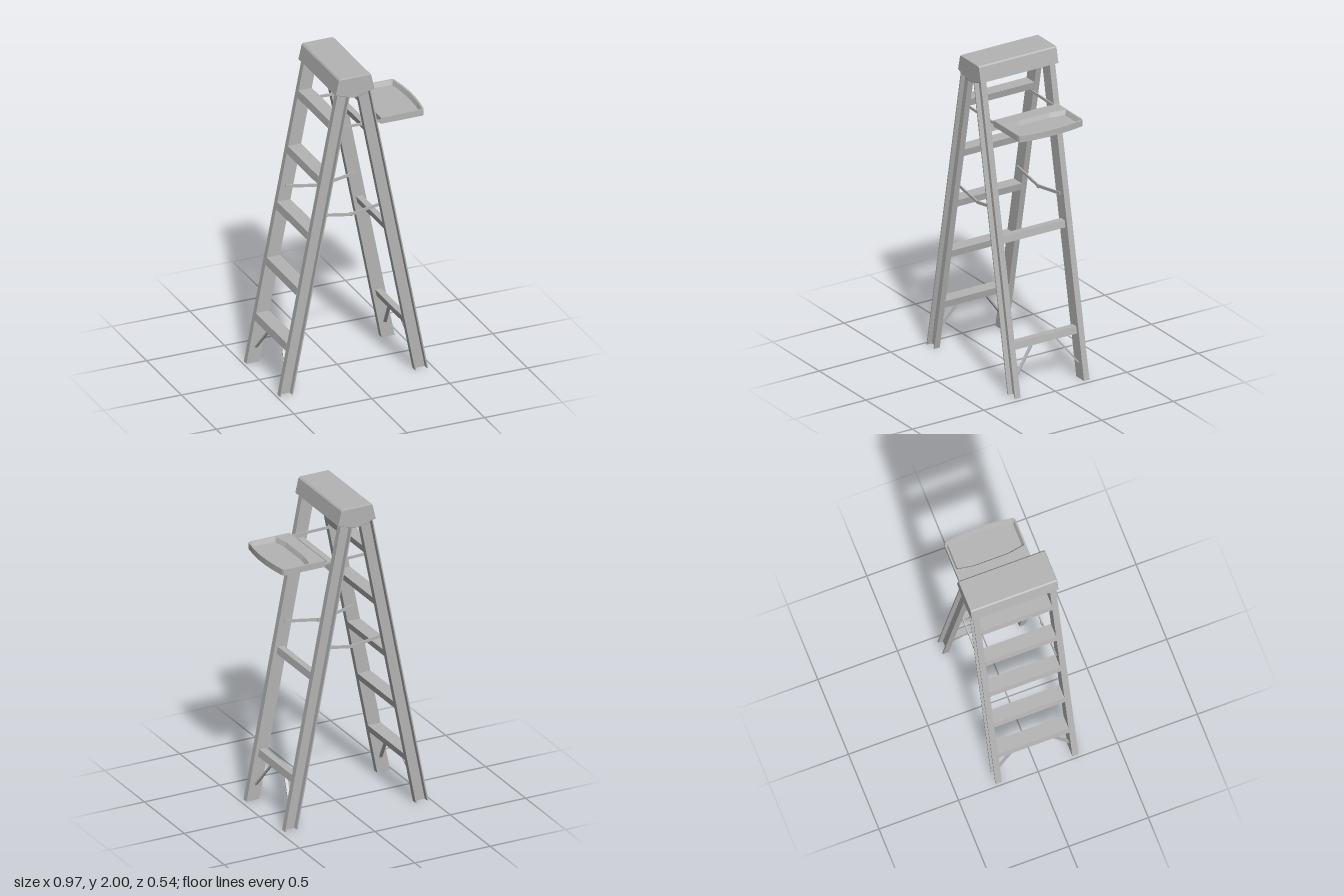
import * as THREE from 'three';
import { mergeGeometries } from 'three/addons/utils/BufferGeometryUtils.js';

const CX = -0.007;                                // ladder centre line
const FOOT = 0.434, SLOPE = 0.195;                // leg centre at the floor and its lean
const HALF = 0.042;                               // half the width of a leg
const IN = 0.222, OUT = 0.26;                     // inner and outer z of the legs

const legX = (side, y) => CX + side * (FOOT - SLOPE * y);

// Box that leans with the legs; u runs outward from the leg centre line.
function raked(side, u0, u1, y0, y1, z0, z1) {
  const g = new THREE.BoxGeometry(u1 - u0, y1 - y0, Math.abs(z1 - z0));
  g.translate(side * (u0 + u1) / 2, (y0 + y1) / 2, (z0 + z1) / 2);
  const p = g.attributes.position;
  for (let i = 0; i < p.count; i++) p.setX(i, p.getX(i) + legX(side, p.getY(i)));
  g.computeVertexNormals();
  return g;
}

// Flat bar between two points
function bar(a, b, height, thick) {
  const A = new THREE.Vector3(...a), B = new THREE.Vector3(...b);
  const g = new THREE.BoxGeometry(thick, height, A.distanceTo(B));
  const m = new THREE.Matrix4().lookAt(B, A, new THREE.Vector3(0, 1, 0));
  g.applyMatrix4(m);
  const c = A.add(B).multiplyScalar(0.5);
  return g.translate(c.x, c.y, c.z);
}

// Half outline (z > 0) completed by mirroring, as [x, z] points
const mirrored = (half) => [...half, ...half.slice().reverse().map(([x, z]) => [x, -z])];
const toV2 = (pts) => pts.map(([x, y]) => new THREE.Vector2(x, y));

// Horizontal slab from an [x, z] outline
function slab(outline, y0, y1, hole) {
  const s = new THREE.Shape(toV2(outline));
  if (hole) s.holes.push(new THREE.Path(toV2(hole)));
  const g = new THREE.ExtrudeGeometry(s, { depth: y1 - y0, bevelEnabled: false });
  return g.rotateX(-Math.PI / 2).translate(0, y0, 0);
}

export function createModel() {
  const model = new THREE.Group();
  const metal = new THREE.MeshStandardMaterial({ color: 0xb4b4b4 });
  metal.name = 'greyMetal';
  const shell = metal.clone();
  shell.name = 'greyMetalSheet';
  shell.side = THREE.DoubleSide;
  const add = (name, geos, mat = metal) => {
    const mesh = new THREE.Mesh(geos.length > 1 ? mergeGeometries(geos) : geos[0], mat);
    mesh.name = name;
    model.add(mesh);
  };

  // Legs: channels open to the outside
  for (const side of [-1, 1]) for (const e of [-1, 1]) {
    add('leg', [
      raked(side, -HALF, HALF, 0, 1.94, e * IN, e * (IN + 0.007)),
      raked(side, HALF - 0.008, HALF, 0, 1.94, e * IN, e * OUT),
      raked(side, -HALF, -HALF + 0.008, 0, 1.94, e * IN, e * OUT),
    ]);
  }

  // Treads on the climbing side: tread plate with a flange along each edge
  for (let i = 0; i < 5; i++) {
    const top = 0.32 + i * 0.35;
    add('step', [
      raked(-1, -HALF, HALF, top - 0.008, top, -IN, IN),
      raked(-1, HALF - 0.006, HALF + 0.002, top - 0.045, top, -IN, IN),
      raked(-1, -HALF, -HALF + 0.006, top - 0.045, top, -IN, IN),
    ]);
  }

  // Narrow rungs on the support side
  for (const top of [0.32, 0.955, 1.627]) {
    add('rung', [raked(1, -0.02, 0.02, top - 0.043, top, -IN, IN)]);
  }

  for (const e of [-1, 1]) {
    // Diagonal braces under the lowest step and rung
    for (const side of [-1, 1]) {
      add('footBrace', [bar([legX(side, 0.28), 0.282, e * 0.08], [legX(side, 0.1), 0.1, e * IN], 0.01, 0.018)]);
    }
    // Folding spreader with its hinge
    const z = e * 0.214;
    add('spreader', [
      bar([CX - 0.23, 1.116, z], [CX, 1.077, z], 0.018, 0.008),
      bar([CX, 1.077, z], [CX + 0.23, 1.116, z], 0.018, 0.008),
      bar([CX - 0.01, 1.078, z - e * 0.005], [CX + 0.01, 1.078, z - e * 0.005], 0.024, 0.006),
    ]);
    // Arms carrying the tray
    add('trayArm', [bar([-0.085, 1.658, e * 0.216], [0.19, 1.652, e * 0.216], 0.016, 0.008)]);
  }

  // Tray with a sunken, sloping-sided well
  const outer = mirrored([[0.183, 0.224], [0.44, 0.224], [0.456, 0.22], [0.463, 0.208], [0.476, 0.12], [0.482, 0.04]]);
  const rim = mirrored([[0.264, 0.11], [0.281, 0.208], [0.287, 0.214], [0.444, 0.214], [0.452, 0.206], [0.465, 0.12], [0.47, 0.04]]);
  const floor = mirrored([[0.277, 0.108], [0.292, 0.197], [0.297, 0.202], [0.436, 0.202], [0.442, 0.197], [0.454, 0.115], [0.458, 0.04]]);
  const wall = [];
  rim.forEach((a, i) => {
    const j = (i + 1) % rim.length;
    const A = [a[0], 1.674, a[1]], B = [rim[j][0], 1.674, rim[j][1]];
    const C = [floor[i][0], 1.647, floor[i][1]], D = [floor[j][0], 1.647, floor[j][1]];
    wall.push(A, C, B, B, C, D);
  });
  const wallGeo = new THREE.BufferGeometry();
  wallGeo.setAttribute('position', new THREE.Float32BufferAttribute(wall.flat(), 3));
  wallGeo.computeVertexNormals();
  add('trayBase', [slab(outer, 1.635, 1.647)]);
  add('trayRim', [slab(outer, 1.647, 1.674, rim)]);
  add('trayWell', [wallGeo], shell);

  // Top cap: hollow cover with an end plate at each end
  const cover = new THREE.Shape(toV2([
    [-0.124, 1.9], [-0.104, 1.992], [-0.096, 2], [0.096, 2], [0.104, 1.992], [0.124, 1.9],
    [0.116, 1.9], [0.094, 1.99], [-0.094, 1.99], [-0.116, 1.9],
  ]));
  add('capCover', [new THREE.ExtrudeGeometry(cover, { depth: 0.53, bevelEnabled: false }).translate(CX + 0.003, 0, -0.265)]);
  const end = new THREE.Shape(toV2([
    [-0.12, 1.903], [-0.1, 1.99], [-0.094, 1.996], [0.094, 1.996], [0.1, 1.99], [0.12, 1.903],
    [0.03, 1.874], [0, 1.87], [-0.03, 1.874],
  ]));
  for (const e of [-1, 1]) {
    const g = new THREE.ExtrudeGeometry(end, {
      depth: 0.003, bevelEnabled: true, bevelSize: 0.004, bevelThickness: 0.004, bevelSegments: 2,
    });
    add('capEnd', [g.translate(CX + 0.003, 0, e * 0.2665 - 0.0015)]);
  }
  return model;
}
